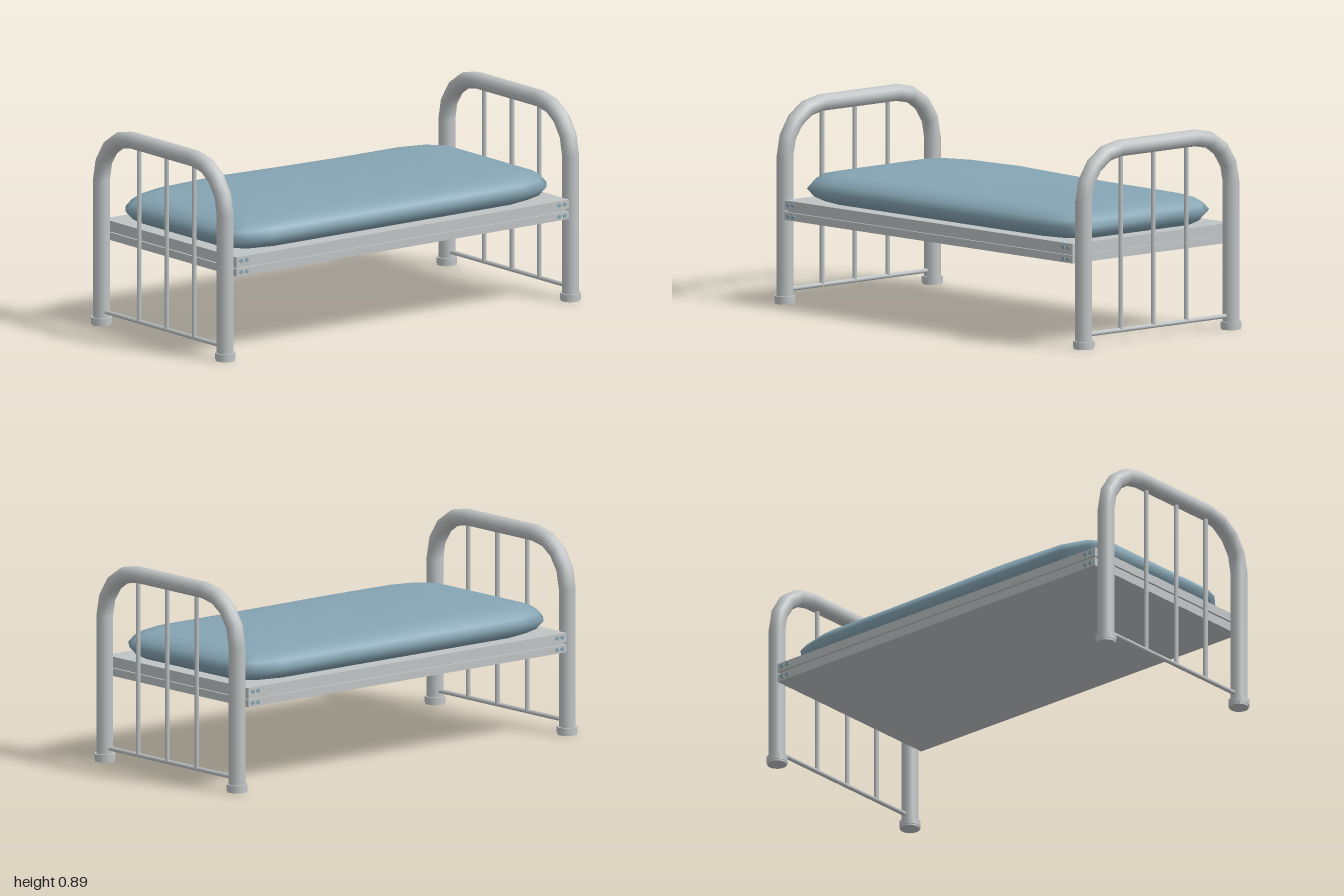
import * as THREE from 'three';

const HALF_W = 0.435, END_Z = 0.939, PIPE = 0.037;

// Bent pipe: straight post, rounded corner, flat top, rounded corner, straight post
class ArchCurve extends THREE.Curve {
  constructor() {
    super();
    const R = 0.212, spring = 0.64, steps = 4;
    this.stops = [{ x: -HALF_W, y: 0.01, a: Math.PI }];
    for (const side of [-1, 1]) {
      for (let i = 0; i <= steps; i++) {
        const a = Math.PI / 2 * (side < 0 ? 2 - i / steps : 1 - i / steps);
        this.stops.push({ x: side * (HALF_W - R) + R * Math.cos(a), y: spring + R * Math.sin(a), a });
      }
    }
    this.stops.push({ x: HALF_W, y: 0.01, a: 0 });
    this.count = this.stops.length - 1;
  }
  stop(u) { return this.stops[Math.round(u * this.count)]; }
  getPoint(u, out = new THREE.Vector3()) { const s = this.stop(u); return out.set(s.x, s.y, 0); }
  getPointAt(u, out) { return this.getPoint(u, out); }
  getTangentAt(u, out = new THREE.Vector3()) {
    const { a } = this.stop(u);
    return out.set(Math.sin(a), -Math.cos(a), 0);
  }
}

// Soft pad lofted through rings of a rounded rectangle, sagging unevenly on top
function mattressGeometry() {
  const hx = 0.453, hz = 0.888;
  const corner = [[hx, 0], [hx, 0.35], [hx, 0.69], [hx - 0.035, 0.82], [hx - 0.12, hz]];
  const back = corner.slice(1).reverse();
  const outline = [
    ...corner,
    ...back.map(([x, z]) => [-x, z]),
    ...corner.map(([x, z]) => [-x, -z]),
    ...back.map(([x, z]) => [x, -z]),
  ];
  // [height, inset from the edge]
  const rings = [[0.455, hx], [0.455, 0.06], [0.475, 0.025], [0.51, 0], [0.54, 0.02],
    [0.563, 0.05], [0.577, 0.11], [0.582, 0.25], [0.584, hx]];
  const pos = [], index = [], n = outline.length;
  rings.forEach(([y, inset], r) => {
    outline.forEach(([ox, oz]) => {
      const x = ox * (hx - inset) / hx, z = oz * (hz - inset) / hz;
      const bump = y > 0.56 ? 0.012 * Math.exp(-(((z - 0.32) / 0.35) ** 2)) * (0.6 - x) : 0;
      pos.push(x, y + bump, z);
    });
    if (r === 0) return;
    for (let j = 0; j < n; j++) {
      const k = (j + 1) % n, a = (r - 1) * n + j, b = (r - 1) * n + k, c = r * n + j, d = r * n + k;
      index.push(a, c, b, b, c, d);
    }
  });
  const g = new THREE.BufferGeometry();
  g.setAttribute('position', new THREE.Float32BufferAttribute(pos, 3));
  g.setIndex(index);
  g.computeVertexNormals();
  return g;
}

export function createModel() {
  const metal = new THREE.MeshStandardMaterial({ color: 0xc0c4c5 });
  metal.name = 'paintedMetal';
  const fabric = new THREE.MeshStandardMaterial({ color: 0x86a5b4 });
  fabric.name = 'blueFabric';

  const bed = new THREE.Group();
  bed.name = 'bed';
  const add = (parent, name, geometry, material, x = 0, y = 0, z = 0) => {
    const mesh = new THREE.Mesh(geometry, material);
    mesh.name = name;
    mesh.position.set(x, y, z);
    parent.add(mesh);
    return mesh;
  };

  // Headboard and footboard: arch, feet, low crossbar and spindles
  const curve = new ArchCurve();
  const archGeo = new THREE.TubeGeometry(curve, curve.count, PIPE, 12, false);
  const footGeo = new THREE.CylinderGeometry(0.046, 0.046, 0.026, 14);
  const soleGeo = new THREE.CylinderGeometry(0.043, 0.043, 0.008, 14);
  const spindleGeo = new THREE.CylinderGeometry(0.01, 0.01, 0.78, 8);
  const crossGeo = new THREE.CylinderGeometry(0.01, 0.01, HALF_W * 2, 8).rotateZ(Math.PI / 2);
  for (const [name, z] of [['footboard', END_Z], ['headboard', -END_Z]]) {
    const end = new THREE.Group();
    end.name = name;
    end.position.z = z;
    bed.add(end);
    add(end, 'arch', archGeo, metal);
    add(end, 'crossbar', crossGeo, metal, 0, 0.06, 0);
    for (const x of [-0.171, 0.024, 0.216]) add(end, 'spindle', spindleGeo, metal, x, 0.445, 0);
    for (const s of [-1, 1]) {
      add(end, 'foot', footGeo, metal, s * HALF_W, 0.021, 0);
      add(end, 'sole', soleGeo, metal, s * HALF_W, 0.004, 0);
    }
  }

  // Bed base: two slabs with a groove running between them
  const slab = (name, y0, y1, inset) => add(bed, name,
    new THREE.BoxGeometry(0.94 - 2 * inset, y1 - y0, 1.81 - 2 * inset), metal, 0, (y0 + y1) / 2, 0);
  slab('lowerFrame', 0.37, 0.404, 0);
  slab('frameCore', 0.404, 0.416, 0.01);
  slab('upperFrame', 0.416, 0.455, 0);

  // Bolts at the ends of both side rails
  const boltGeo = new THREE.CylinderGeometry(0.009, 0.009, 0.006, 8).rotateZ(Math.PI / 2);
  for (const sx of [-1, 1]) for (const sz of [-1, 1])
    for (const z of [0.85, 0.88]) for (const y of [0.387, 0.437])
      add(bed, 'bolt', boltGeo, fabric, sx * 0.471, y, sz * z);

  add(bed, 'mattress', mattressGeometry(), fabric);

  // The bed stands slightly askew
  bed.rotation.y = -0.029;
  bed.position.x = -0.002;
  const model = new THREE.Group();
  model.name = 'bedModel';
  model.add(bed);
  return model;
}
